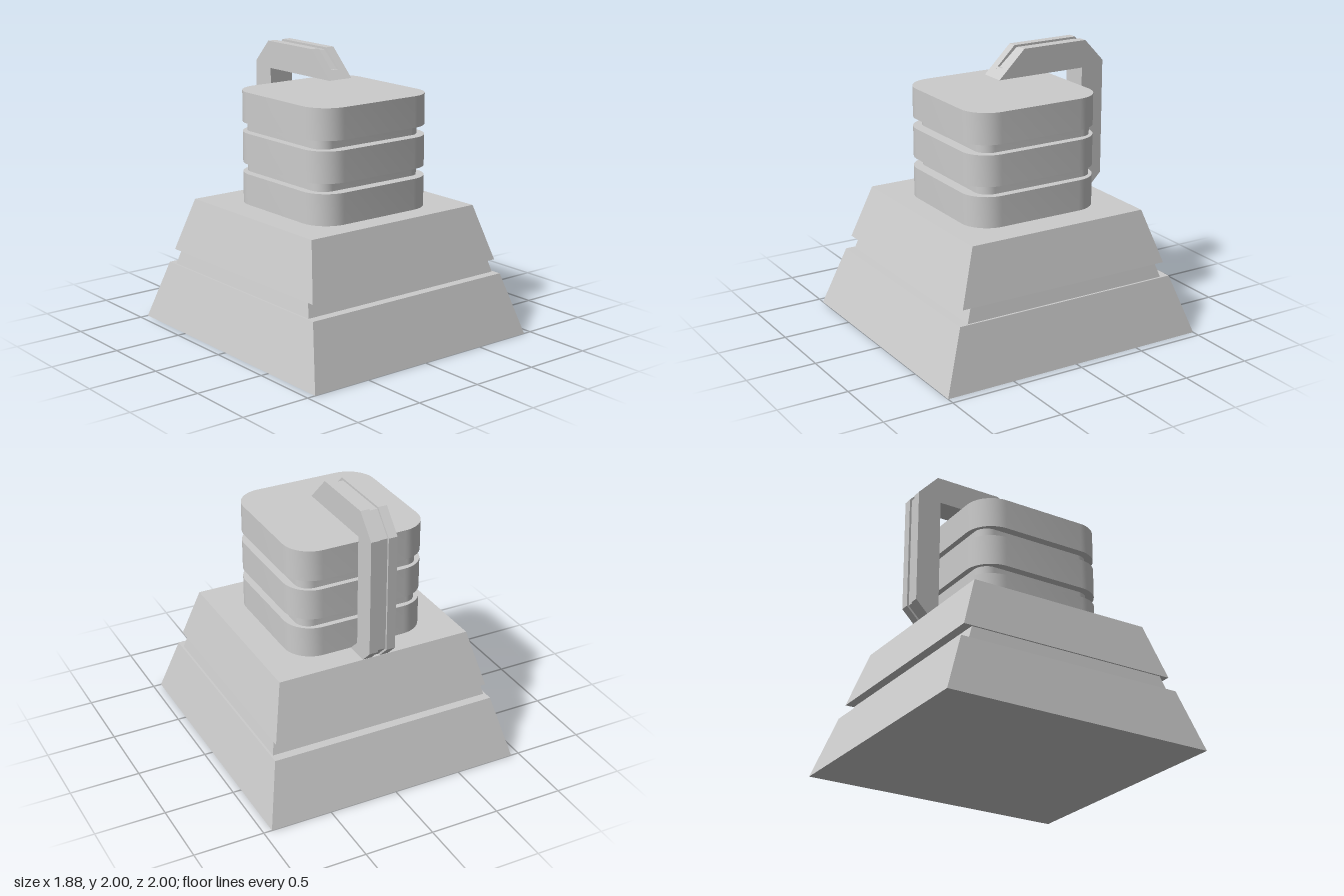
import * as THREE from 'three';
import { toCreasedNormals } from 'three/addons/utils/BufferGeometryUtils.js';

const grey = new THREE.MeshStandardMaterial({ color: 0xcccccc });

function add(group, name, geometry) {
  const mesh = new THREE.Mesh(geometry, grey);
  mesh.name = name;
  group.add(mesh);
  return mesh;
}

// Box whose bottom and top have their own half sizes [x, z]
function frustum(y0, y1, bottom, top) {
  const g = new THREE.BoxGeometry(2, y1 - y0, 2);
  g.translate(0, (y0 + y1) / 2, 0);
  const p = g.attributes.position;
  const mid = (y0 + y1) / 2;
  for (let i = 0; i < p.count; i++) {
    const [hx, hz] = p.getY(i) > mid ? top : bottom;
    p.setX(i, p.getX(i) * hx);
    p.setZ(i, p.getZ(i) * hz);
  }
  g.computeVertexNormals();
  return g;
}

// Upright slab with a rounded rectangular plan
function roundedSlab(y0, y1, hx, hz, r, cx, cz) {
  const s = new THREE.Shape();
  s.absarc(hx - r, hz - r, r, 0, Math.PI / 2);
  s.absarc(-hx + r, hz - r, r, Math.PI / 2, Math.PI);
  s.absarc(-hx + r, -hz + r, r, Math.PI, Math.PI * 1.5);
  s.absarc(hx - r, -hz + r, r, Math.PI * 1.5, Math.PI * 2);
  s.closePath();
  const g = new THREE.ExtrudeGeometry(s, { depth: y1 - y0, bevelEnabled: false, curveSegments: 6 });
  g.rotateX(-Math.PI / 2);
  g.translate(cx, y0, cz);
  return toCreasedNormals(g, 0.6);
}

// Side profile given as [z, y] points, extruded from x0 to x1
function sidePlate(points, x0, x1) {
  const s = new THREE.Shape(points.map(([z, y]) => new THREE.Vector2(-z, y)));
  const g = new THREE.ExtrudeGeometry(s, { depth: x1 - x0, bevelEnabled: false });
  g.rotateY(Math.PI / 2);
  g.translate(x0, 0, 0);
  return g;
}

export function createModel() {
  const model = new THREE.Group();
  model.name = 'model';

  // Stepped pyramid base with a recessed band
  add(model, 'lowerBase', frustum(0, 0.43, [0.94, 1], [0.835, 0.845]));
  add(model, 'baseBand', frustum(0.43, 0.53, [0.82, 0.78], [0.798, 0.745]));
  add(model, 'upperBase', frustum(0.53, 0.915, [0.81, 0.81], [0.715, 0.678]));

  // Stacked rounded blocks
  for (const [y0, y1] of [[0.915, 1.135], [1.205, 1.425], [1.495, 1.715]]) {
    add(model, 'bodyBlock', roundedSlab(y0, y1, 0.507, 0.51, 0.2, -0.005, 0.01));
  }
  // Narrower necks between the blocks
  for (const [y0, y1] of [[1.135, 1.205], [1.425, 1.495]]) {
    add(model, 'neck', roundedSlab(y0, y1, 0.448, 0.45, 0.1, -0.003, -0.01));
  }

  // Hooked arm: two side plates around a slightly sunken core
  const arm = new THREE.Group();
  arm.name = 'arm';
  model.add(arm);
  const inside = [[-0.5, 0.915], [-0.59, 1.0], [-0.59, 1.805], [0.09, 1.805]];
  const plate = [...inside, [-0.11, 2], [-0.615, 2], [-0.765, 1.84], [-0.765, 1.005], [-0.675, 0.915]];
  const core = [...inside, [0.028, 1.865], [0.008, 1.865], [-0.128, 1.985], [-0.608, 1.985],
    [-0.75, 1.835], [-0.75, 1.01], [-0.655, 0.915]];
  add(arm, 'armPlateRight', sidePlate(plate, -0.1, -0.035));
  add(arm, 'armPlateLeft', sidePlate(plate, 0.028, 0.093));
  add(arm, 'armCore', sidePlate(core, -0.035, 0.028));

  return model;
}
